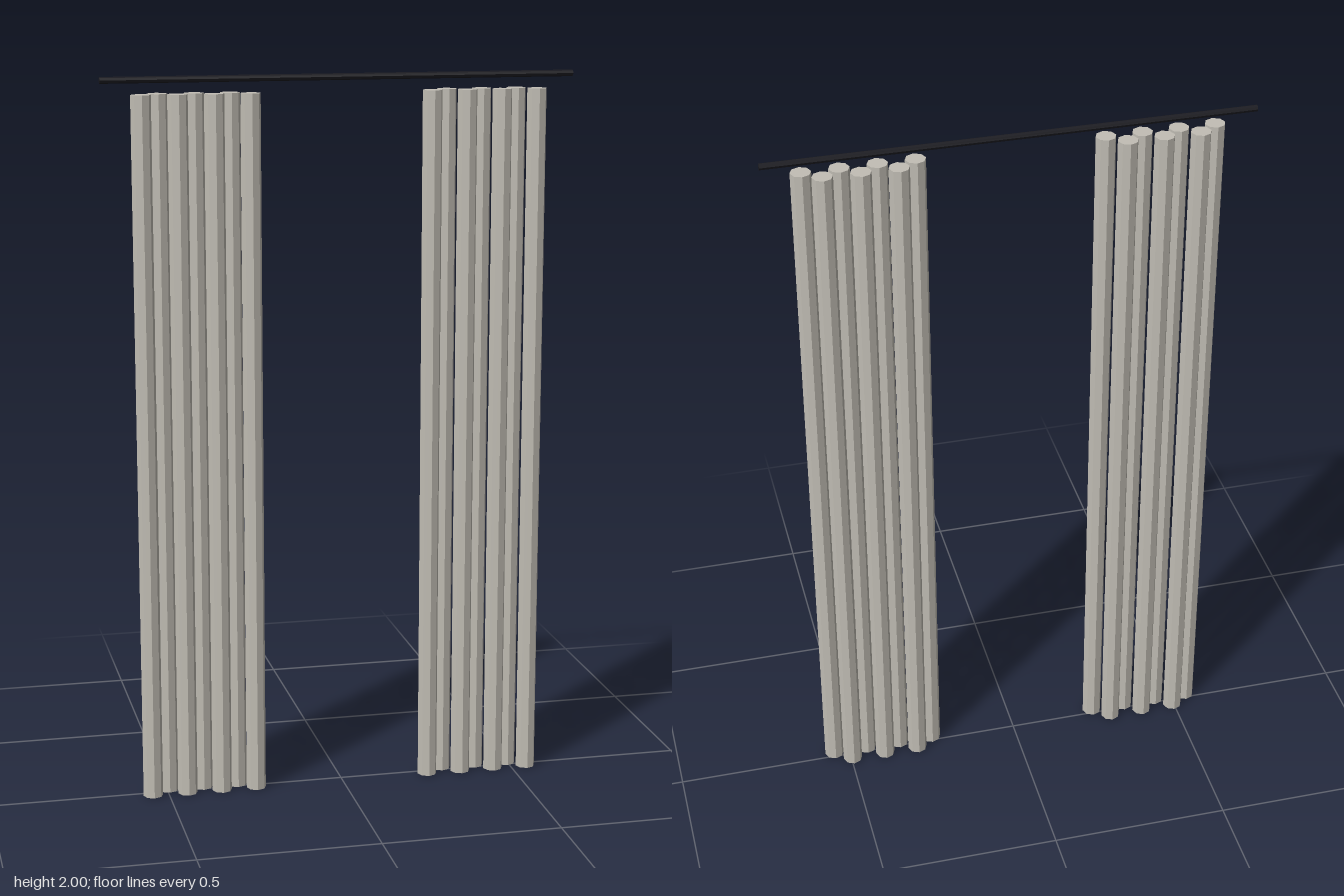
import * as THREE from 'three';

export function createModel() {
  const model = new THREE.Group();
  model.name = 'curtains';

  const fabric = new THREE.MeshStandardMaterial({ color: 0xc2beb5, flatShading: true });
  fabric.name = 'grey fabric';
  const metal = new THREE.MeshStandardMaterial({ color: 0x1a1a20, flatShading: true });
  metal.name = 'black metal';

  // Horizontal rod
  const rod = new THREE.Mesh(new THREE.CylinderGeometry(0.009, 0.009, 1.3, 8), metal);
  rod.name = 'rod';
  rod.rotation.z = Math.PI / 2;
  rod.position.y = 1.991;
  model.add(rod);

  // Each curtain is a row of upright folds, staggered front and back
  const height = 1.953, folds = 7, spacing = 0.049;
  const foldGeometry = new THREE.CylinderGeometry(0.0275, 0.0275, height, 8);
  for (const side of [1, -1]) {
    const curtain = new THREE.Group();
    curtain.name = side > 0 ? 'leftCurtain' : 'rightCurtain';
    curtain.position.x = side * 0.397;
    for (let i = 0; i < folds; i++) {
      const fold = new THREE.Mesh(foldGeometry, fabric);
      fold.name = 'fold';
      fold.position.set((i - (folds - 1) / 2) * spacing, height / 2, i % 2 ? -0.0175 : 0.0175);
      curtain.add(fold);
    }
    model.add(curtain);
  }
  return model;
}
